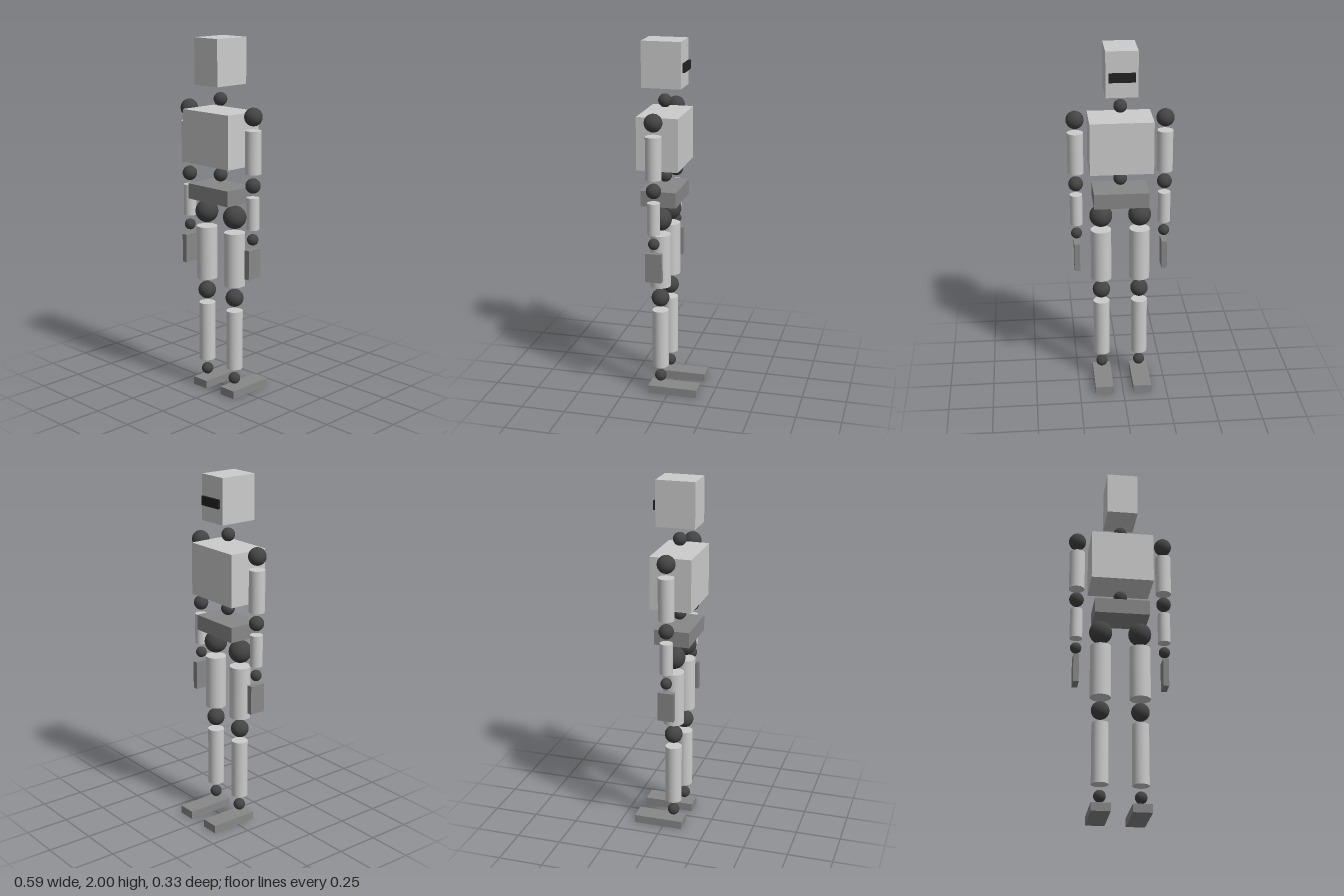
import * as THREE from 'three';

const shell = new THREE.MeshStandardMaterial({ color: 0xcccccc });
const trim = new THREE.MeshStandardMaterial({ color: 0x888888 });
const joint = new THREE.MeshStandardMaterial({ color: 0x444444 });
const glass = new THREE.MeshStandardMaterial({ color: 0x222222 });

const BODY_Z = 0.051; // depth of the body axis; the toes and visor point to -z

export function createModel() {
  const model = new THREE.Group();
  model.name = 'jointedRobot';

  const add = (parent, name, geometry, material, x, y, z = BODY_Z) => {
    const mesh = new THREE.Mesh(geometry, material);
    mesh.name = name;
    mesh.position.set(x, y, z);
    parent.add(mesh);
  };
  const box = (parent, name, material, w, y0, y1, d, x = 0, z = BODY_Z) =>
    add(parent, name, new THREE.BoxGeometry(w, y1 - y0, d), material, x, (y0 + y1) / 2, z);
  const ball = (parent, name, r, x, y) =>
    add(parent, name, new THREE.SphereGeometry(r, 32, 24), joint, x, y);
  const tube = (parent, name, r, y0, y1, x) =>
    add(parent, name, new THREE.CylinderGeometry(r, r, y1 - y0, 32), shell, x, (y0 + y1) / 2);

  // Head and torso
  box(model, 'head', shell, 0.174, 1.749, 2.0, 0.218);
  box(model, 'visor', glass, 0.142, 1.835, 1.885, 0.0125, 0, -0.0685);
  ball(model, 'neckJoint', 0.037, 0, 1.67);
  box(model, 'chest', shell, 0.348, 1.317, 1.609, 0.23);
  ball(model, 'waistJoint', 0.038, 0, 1.254);
  box(model, 'pelvis', trim, 0.305, 1.111, 1.197, 0.196);

  // The model's own left is +x
  for (const [side, s] of [['left', 1], ['right', -1]]) {
    const arm = new THREE.Group();
    arm.name = side + 'Arm';
    const ax = s * 0.246;
    ball(arm, 'shoulder', 0.049, ax, 1.598);
    tube(arm, 'upperArm', 0.044, 1.293, 1.526, ax);
    ball(arm, 'elbow', 0.041, ax, 1.228);
    tube(arm, 'forearm', 0.035, 0.988, 1.164, ax);
    ball(arm, 'wrist', 0.031, ax, 0.931);
    box(arm, 'hand', trim, 0.031, 0.715, 0.878, 0.091, ax);

    const leg = new THREE.Group();
    leg.name = side + 'Leg';
    const lx = s * 0.109;
    ball(leg, 'hip', 0.064, lx, 1.032);
    tube(leg, 'thigh', 0.058, 0.645, 0.947, lx);
    ball(leg, 'knee', 0.05, lx, 0.571);
    tube(leg, 'shin', 0.046, 0.159, 0.498, lx);
    ball(leg, 'ankle', 0.033, lx, 0.096);
    box(leg, 'foot', trim, 0.104, 0, 0.046, 0.28, lx, -0.028);

    model.add(arm, leg);
  }
  return model;
}
